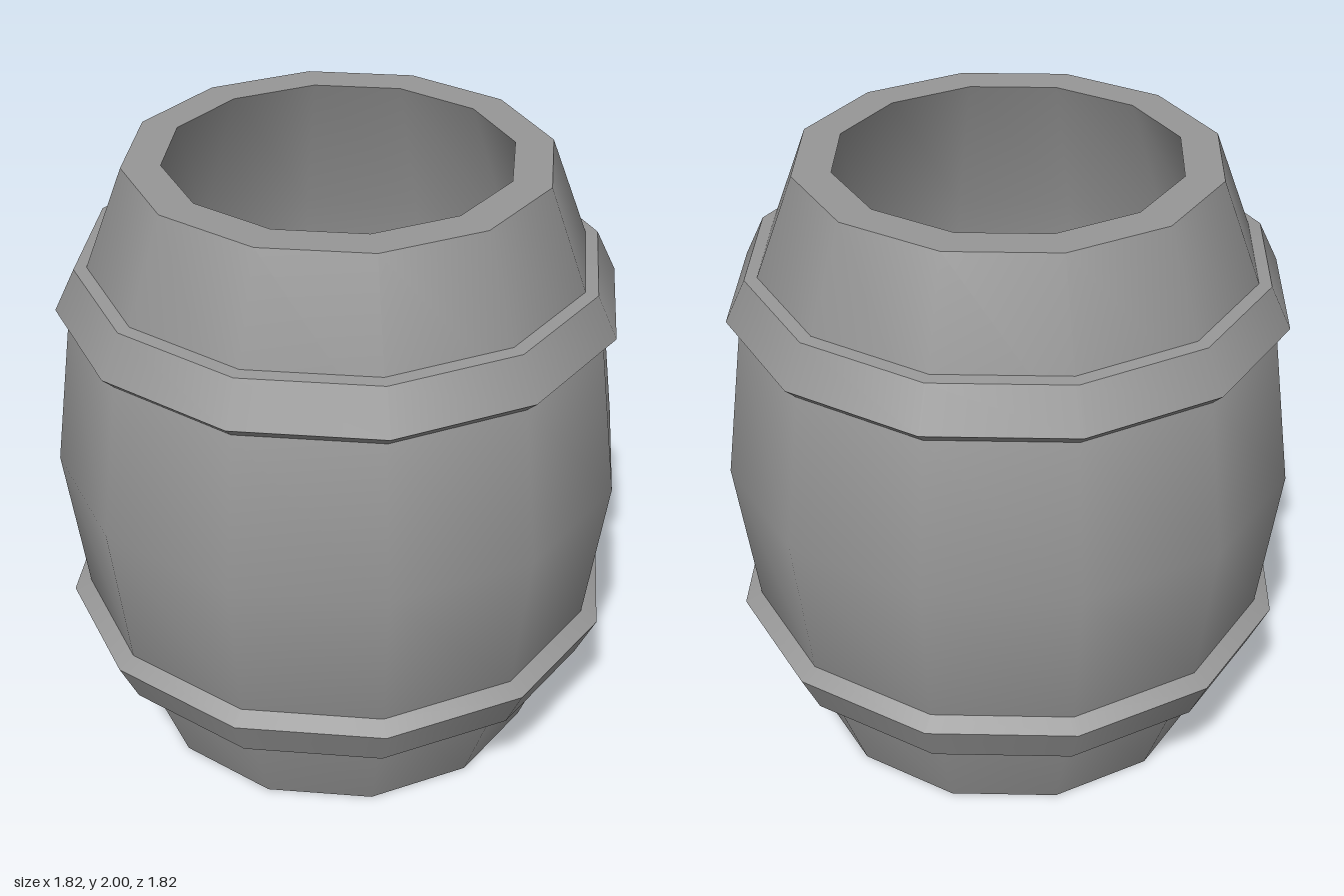
import * as THREE from 'three';

const SIDES = 12;
const TURN = THREE.MathUtils.degToRad(-4.7);

// One ring of surface, smooth around and along its own profile [radius, y]
function ring(name, profile, flatShading = false) {
  const points = profile.map(([r, y]) => new THREE.Vector2(r, y));
  const mesh = new THREE.Mesh(
    new THREE.LatheGeometry(points, SIDES, TURN),
    new THREE.MeshStandardMaterial({ color: 0x979797, flatShading })
  );
  mesh.name = name;
  return mesh;
}

// A hoop: every profile segment is a separate ring, so its edges stay sharp
function hoop(name, profile) {
  const group = new THREE.Group();
  group.name = name;
  for (let i = 0; i < profile.length - 1; i++) {
    group.add(ring(name + 'Face' + (i + 1), [profile[i], profile[i + 1]]));
  }
  return group;
}

export function createModel() {
  const barrel = new THREE.Group();
  barrel.name = 'barrel';

  // Bulging staves, outside and inside
  barrel.add(ring('outerWall', [[0.66, 0], [0.85, 0.5], [0.915, 1], [0.85, 1.5], [0.66, 2]]));
  barrel.add(ring('innerWall', [[0.54, 2], [0.73, 1.5], [0.79, 1], [0.73, 0.5], [0.61, 0.2]]));

  // Flat rims
  barrel.add(ring('topRim', [[0.66, 2], [0.54, 2]]));
  barrel.add(ring('bottomRim', [[0.54, 0], [0.66, 0]]));

  // Floor inside, and the shallow recess below it
  barrel.add(ring('floor', [[0.61, 0.2], [0, 0.2]]));
  barrel.add(ring('recessWall', [[0.54, 0.13], [0.54, 0]], true));
  barrel.add(ring('recessBase', [[0, 0.13], [0.54, 0.13]]));

  // Hoops flaring towards the middle of the barrel
  barrel.add(hoop('lowerHoop', [[0.78, 0.33], [0.84, 0.33], [0.905, 0.47], [0.85, 0.5]]));
  barrel.add(hoop('upperHoop', [[0.85, 1.505], [0.887, 1.54], [0.822, 1.675], [0.78, 1.68]]));

  return barrel;
}
